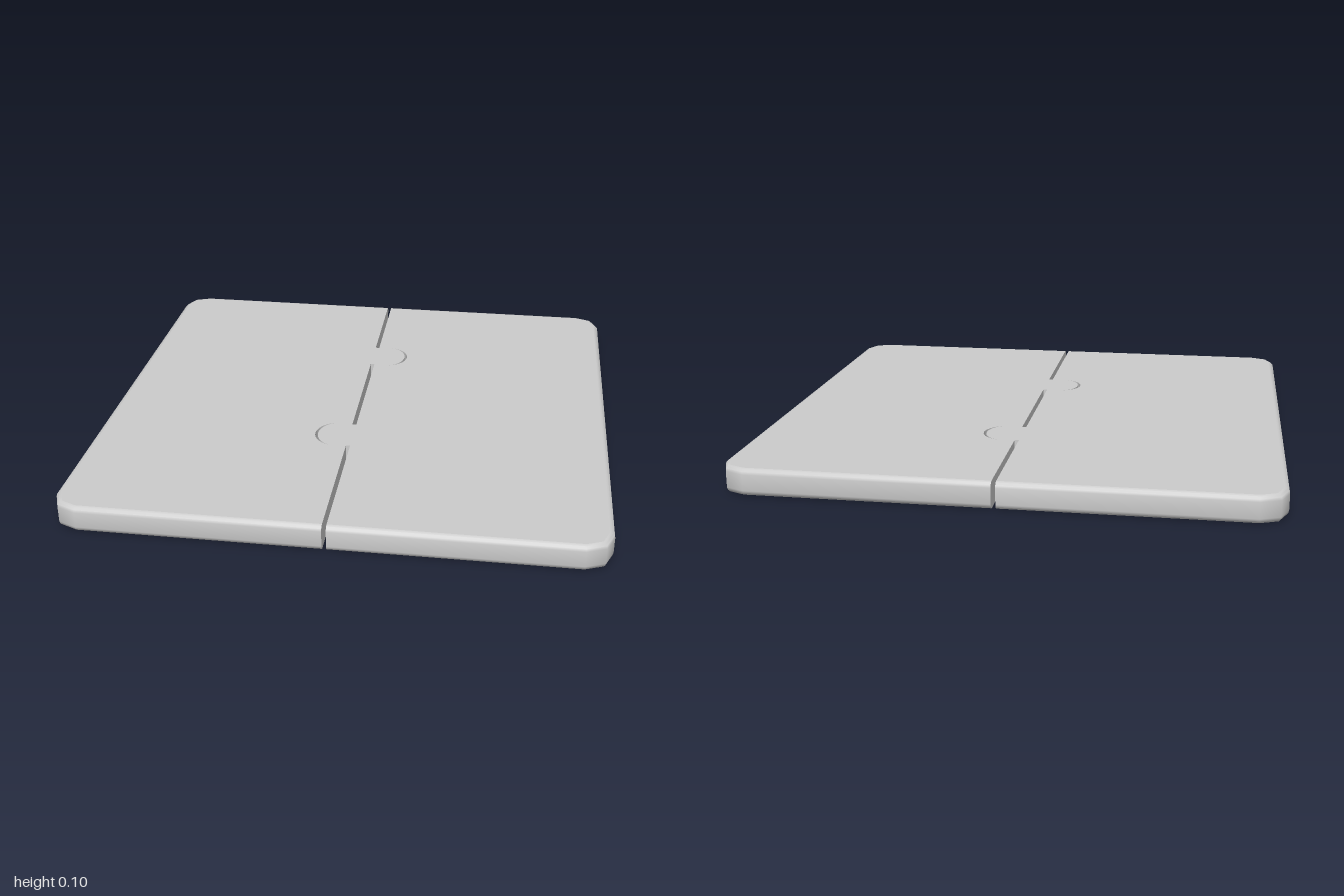
import * as THREE from 'three';
import { mergeGeometries, toCreasedNormals } from 'three/addons/utils/BufferGeometryUtils.js';

const HALF_X = 1, HALF_Z = 0.99, HEIGHT = 0.1;
const CORNER = 0.1, BEVEL = 0.02, GAP = 0.008;
// Interlocking tabs: dir is the side each one reaches into
const TABS = [{ dir: 1, z: -0.419 }, { dir: -1, z: 0.322 }];

// Plan outline of one half (side = +1 or -1), outer edge pulled in by inset
function outline(side, inset) {
  const pts = [];
  const add = (x, z) => pts.push(new THREE.Vector2(x, z));

  // Seam with tabs and sockets; the socket is deeper, leaving a crescent gap
  add(side * GAP, -HALF_Z + inset);
  for (const { dir, z } of TABS) {
    const reach = side === dir ? 0.088 : 0.077;
    add(side * GAP, z - 0.086);
    for (let i = 0; i <= 16; i++) {
      const a = (i / 16 - 0.5) * Math.PI;
      add(dir * (0.055 + reach * Math.cos(a)), z + 0.092 * Math.sin(a));
    }
    add(side * GAP, z + 0.086);
  }
  add(side * GAP, HALF_Z - inset);

  // Faceted outer corners
  const r = CORNER - inset;
  for (const end of [1, -1]) {
    for (let i = 0; i <= 2; i++) {
      const a = (end > 0 ? 2 - i : i) * Math.PI / 4;
      add(side * (HALF_X - CORNER + r * Math.cos(a)), end * (HALF_Z - CORNER + r * Math.sin(a)));
    }
  }
  return side > 0 ? pts : pts.reverse();
}

// Side wall lofted through the outlines, with rounded rims
function wall(side) {
  const levels = [];
  for (let i = 0; i <= 3; i++) {
    const a = i / 3 * Math.PI / 2;
    levels.push([BEVEL * (1 - Math.sin(a)), BEVEL * (1 - Math.cos(a))]);
  }
  for (const [inset, y] of levels.slice().reverse()) levels.push([inset, HEIGHT - y]);

  const rings = levels.map(([inset, y]) =>
    outline(side, inset).map((p) => new THREE.Vector3(p.x, y, p.y)));
  const positions = [];
  for (let j = 0; j < rings.length - 1; j++) {
    const low = rings[j], high = rings[j + 1];
    for (let i = 0; i < low.length; i++) {
      const k = (i + 1) % low.length;
      for (const v of [low[i], low[k], high[k], low[i], high[k], high[i]]) {
        positions.push(v.x, v.y, v.z);
      }
    }
  }
  const geometry = new THREE.BufferGeometry();
  geometry.setAttribute('position', new THREE.Float32BufferAttribute(positions, 3));
  return toCreasedNormals(geometry, 0.9);
}

// Flat top or bottom face
function cap(side, top) {
  const flip = top ? -1 : 1;
  const pts = outline(side, BEVEL).map((p) => new THREE.Vector2(p.x, flip * p.y));
  const geometry = new THREE.ShapeGeometry(new THREE.Shape(pts)).toNonIndexed();
  geometry.deleteAttribute('uv');
  return geometry.rotateX(flip * Math.PI / 2).translate(0, top ? HEIGHT : 0, 0);
}

export function createModel() {
  const group = new THREE.Group();
  group.name = 'interlockingBoard';
  const material = new THREE.MeshStandardMaterial({ color: 0xcccccc });
  for (const side of [1, -1]) {
    const geometry = mergeGeometries([wall(side), cap(side, true), cap(side, false)]);
    const half = new THREE.Mesh(geometry, material);
    half.name = side > 0 ? 'leftHalf' : 'rightHalf';
    group.add(half);
  }
  return group;
}
